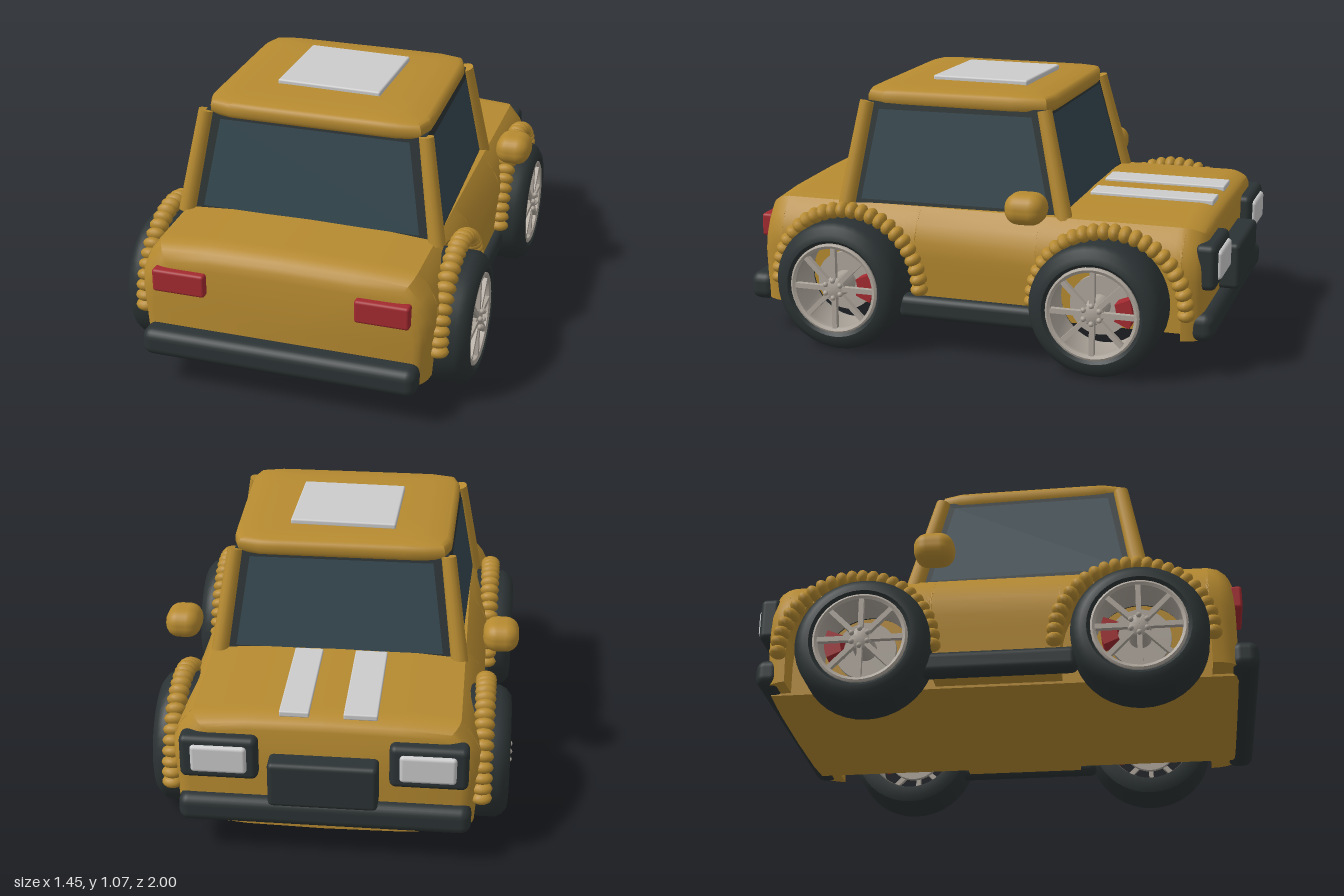
import * as THREE from 'three';
import { toCreasedNormals } from 'three/addons/utils/BufferGeometryUtils.js';
import { RoundedBoxGeometry } from 'three/addons/geometries/RoundedBoxGeometry.js';

const mat = (color, side = THREE.FrontSide) => new THREE.MeshStandardMaterial({ color, side });
const paint = mat(0xb68a30), dark = mat(0x2c3334), glass = mat(0x34474f, THREE.DoubleSide);
const white = mat(0xc8c8c6), red = mat(0xa32a30), metal = mat(0xaea69c, THREE.DoubleSide);
const V = (x, y, z) => new THREE.Vector3(x, y, z);

function add(parent, name, geo, material, x = 0, y = 0, z = 0) {
  const m = new THREE.Mesh(geo, material);
  m.name = name;
  m.position.set(x, y, z);
  parent.add(m);
  return m;
}

// Rounded box given by its extents
function block(parent, name, material, [x0, x1], [y0, y1], [z0, z1], r = 0.02) {
  const geo = new RoundedBoxGeometry(x1 - x0, y1 - y0, z1 - z0, 3, r);
  return add(parent, name, geo, material, (x0 + x1) / 2, (y0 + y1) / 2, (z0 + z1) / 2);
}

// Skin closed rings of equal length, cap both ends, face outward
function loft(rings, crease) {
  const tris = [], n = rings[0].length;
  const mid = r => r.reduce((s, p) => s.add(p), V(0, 0, 0)).divideScalar(n);
  for (let k = 0; k + 1 < rings.length; k++) {
    for (let i = 0; i < n; i++) {
      const j = (i + 1) % n, a = rings[k], b = rings[k + 1];
      tris.push([a[i], a[j], b[j]], [a[i], b[j], b[i]]);
    }
  }
  const first = rings[0], last = rings[rings.length - 1];
  for (let i = 0; i < n; i++) {
    const j = (i + 1) % n;
    tris.push([first[j], first[i], mid(first)], [last[i], last[j], mid(last)]);
  }
  const volume = tris.reduce((s, [a, b, c]) => s + a.dot(b.clone().cross(c)), 0);
  const pts = tris.flatMap(t => (volume < 0 ? [t[0], t[2], t[1]] : t));
  return toCreasedNormals(new THREE.BufferGeometry().setFromPoints(pts), crease);
}

const FLOOR = 0.15, ARCH_Y = 0.265, ARCH_R = 0.29;

// Body cross-section at z; h is the lower edge of the side panel
function bodySection(z, h) {
  const d = Math.min(0.1, 0.92 - Math.abs(z));
  const inset = 0.1 - Math.sqrt(Math.max(0, 0.01 - (0.1 - d) ** 2));
  const drop = inset * (z > 0 ? 0.9 : 0.5), w = 0.595 - inset * 0.7;
  const top = 0.585 - drop;
  const half = [[0.3, 0.125], [0.46, 0.14], [0.46, h]];
  for (let t = 0; t <= 7; t++) {
    const y = h + (top - h) * t / 7, ys = y + drop;
    half.push([w - (ys > 0.42 ? 3 * (ys - 0.42) ** 2 : 0.07 * (0.42 - ys)), y]);
  }
  half.push([0.3, top + 0.014]);
  const mirrored = half.slice().reverse().map(([x, y]) => [-x, y]);
  return [[0, 0.12], ...half, [0, top + 0.018], ...mirrored].map(([x, y]) => V(x, y, z));
}

function buildBody(car) {
  const rings = [];
  const ends = [0, 0.005, 0.015, 0.03, 0.06];
  ends.forEach(d => rings.push(bodySection(-0.92 + d, FLOOR)));
  for (const zc of [-0.55, 0.53]) {
    rings.push(bodySection(zc - ARCH_R, FLOOR));
    for (let i = 0; i <= 20; i++) {
      const a = Math.PI * (1 - i / 20);
      rings.push(bodySection(zc + ARCH_R * Math.cos(a), ARCH_Y + ARCH_R * Math.sin(a)));
    }
    rings.push(bodySection(zc + ARCH_R, FLOOR));
  }
  ends.reverse().forEach(d => rings.push(bodySection(0.92 - d, FLOOR)));
  add(car, 'body', loft(rings, 0.6), paint);
}

function buildCabin(car) {
  const rect = (w0, w1, y, z0, z1) => [V(-w0, y, z0), V(w0, y, z0), V(w1, y, z1), V(-w1, y, z1)];
  const low = rect(0.49, 0.52, 0.57, -0.35, 0.56), high = rect(0.43, 0.45, 0.99, -0.25, 0.49);
  add(car, 'windowFrame', loft([low, high], 0.1), dark);
  const up = V(0, 1, 0);
  for (let i = 0; i < 4; i++) {
    const j = (i + 1) % 4;
    // Window pane, shrunk toward its middle and set just proud of the frame
    const c = [low[i], low[j], high[j], high[i]];
    const mid = c.reduce((s, p) => s.add(p), V(0, 0, 0)).divideScalar(4);
    const out = c[1].clone().sub(c[0]).cross(c[3].clone().sub(c[0])).normalize();
    if (out.dot(V(mid.x, 0, mid.z - 0.12)) < 0) out.negate();
    const q = c.map(p => p.clone().lerp(mid, 0.14).addScaledVector(out, 0.006));
    const pane = new THREE.BufferGeometry().setFromPoints([q[0], q[2], q[1], q[0], q[3], q[2]]);
    pane.computeVertexNormals();
    add(car, 'windowPane', pane, glass);
    // Corner pillar
    const dir = high[i].clone().sub(low[i]);
    const p = add(car, 'pillar', new THREE.CylinderGeometry(0.03, 0.035, dir.length(), 12), paint);
    p.position.copy(low[i]).addScaledVector(dir, 0.5);
    p.quaternion.setFromUnitVectors(up, dir.normalize());
  }
  // Domed roof: rounded-rectangle rings stacked upward
  const roofRing = ([y, s]) => Array.from({ length: 48 }, (_, i) => {
    const a = i / 48 * Math.PI * 2, c = Math.cos(a), n = Math.sin(a);
    const k = Math.pow(c ** 12 + n ** 12, -1 / 12);
    const z = 0.12 + 0.395 * s * k * n;
    return V((0.444 + 0.02 * z) * s * k * c, y, z);
  });
  const levels = [[0.968, 0.94], [0.975, 0.98], [0.99, 1], [1.015, 1], [1.03, 0.985], [1.037, 0.95],
    [1.043, 0.75], [1.049, 0.45], [1.052, 0.1]];
  add(car, 'roof', loft(levels.map(roofRing), 0.8), paint);
  const plate = block(car, 'roofPanel', white, [-0.215, 0.215], [1.04, 1.066], [-0.12, 0.29], 0.008);
  plate.rotation.y = -0.03;
}

// Wheel with its axle along +x, outer face near x = 0.23
function buildWheel() {
  const wheel = new THREE.Group();
  wheel.name = 'wheel';
  const lathe = (name, pts, material) => {
    const geo = new THREE.LatheGeometry(pts.map(([r, x]) => new THREE.Vector2(r, x)), 40);
    add(wheel, name, toCreasedNormals(geo, 0.6), material).rotation.z = -Math.PI / 2;
  };
  lathe('tyre', [[0.185, 0], [0.225, 0], [0.25, 0.01], [0.265, 0.035], [0.265, 0.18], [0.252, 0.205],
    [0.225, 0.225], [0.2, 0.228], [0.187, 0.215], [0.185, 0]], mat(0x2c3334, THREE.DoubleSide));
  lathe('rim', [[0.184, 0.02], [0.184, 0.21], [0.186, 0.222], [0.178, 0.226], [0.166, 0.22], [0.166, 0.2],
    [0.178, 0.18], [0.178, 0.02]], metal);
  lathe('brakeDisc', [[0.001, 0.08], [0.12, 0.08], [0.12, 0.1], [0.001, 0.1]], metal);
  lathe('hub', [[0.001, 0.06], [0.045, 0.06], [0.045, 0.215], [0.03, 0.225], [0.001, 0.225]], metal);
  for (let i = 0; i < 8; i++) {
    const a = i / 8 * Math.PI * 2;
    const spoke = add(wheel, 'spoke', new THREE.BoxGeometry(0.022, 0.15, 0.02), metal,
      0.21, 0.1 * Math.cos(a), 0.1 * Math.sin(a));
    spoke.rotation.x = a;
  }
  for (let i = 0; i < 6; i++) {
    const a = i / 6 * Math.PI * 2;
    add(wheel, 'wheelNut', new THREE.SphereGeometry(0.011, 8, 6), metal,
      0.228, 0.036 * Math.cos(a), 0.036 * Math.sin(a));
  }
  // Brake caliper, a ring sector on the forward side
  const s = new THREE.Shape();
  s.absarc(0, 0, 0.148, -0.4, 0.4, false);
  s.absarc(0, 0, 0.085, 0.4, -0.4, true);
  const caliper = add(wheel, 'brakeCaliper',
    new THREE.ExtrudeGeometry(s, { depth: 0.07, bevelEnabled: false, curveSegments: 8 }), red, 0.11);
  caliper.rotation.y = Math.PI / 2;
  return wheel;
}

function buildSide() {
  const side = new THREE.Group();
  side.name = 'carSide';
  for (const [wheelZ, archZ] of [[0.55, 0.525], [-0.52, -0.56]]) {
    const wheel = buildWheel();
    wheel.position.set(0.478, 0.265, wheelZ);
    side.add(wheel);
    // Beaded wheel-arch trim
    const arch = new THREE.Group();
    arch.name = 'archTrim';
    for (let i = 0; i < 24; i++) {
      const a = Math.PI * (i / 23), r = 0.305;
      const bead = add(arch, 'archBead', new THREE.SphereGeometry(1, 12, 8), paint,
        0.6, 0.265 + r * Math.sin(a), archZ + r * Math.cos(a));
      bead.scale.set(0.042, 0.034, 0.026);
      bead.rotation.x = Math.PI / 2 - a;
    }
    side.add(arch);
  }
  block(side, 'sideSkirt', dark, [0.53, 0.615], [0.14, 0.235], [-0.32, 0.31], 0.03);
  block(side, 'mirror', paint, [0.58, 0.725], [0.59, 0.712], [-0.325, -0.165], 0.055);
  block(side, 'headlightHousing', dark, [0.25, 0.55], [0.35, 0.53], [-0.965, -0.88], 0.025);
  block(side, 'headlight', white, [0.29, 0.505], [0.385, 0.5], [-0.98, -0.94], 0.015);
  block(side, 'tailLight', red, [0.3, 0.515], [0.405, 0.5], [0.9, 0.95], 0.012);
  return side;
}

export function createModel() {
  const car = new THREE.Group();
  car.name = 'car';
  buildBody(car);
  buildCabin(car);

  const left = buildSide(), right = buildSide();
  right.scale.x = -1;
  car.add(left, right);

  // Bumpers, grille and bonnet stripes
  block(car, 'rearBumper', dark, [-0.555, 0.555], [0.135, 0.25], [0.89, 1], 0.04);
  block(car, 'frontBumper', dark, [-0.565, 0.565], [0.145, 0.26], [-0.965, -0.86], 0.04);
  block(car, 'grille', dark, [-0.21, 0.21], [0.26, 0.45], [-1, -0.9], 0.02);
  block(car, 'bonnetStripe', white, [-0.2, -0.07], [0.59, 0.614], [-0.88, -0.37], 0.006);
  block(car, 'bonnetStripe', white, [0.06, 0.175], [0.59, 0.614], [-0.88, -0.37], 0.006);
  return car;
}
